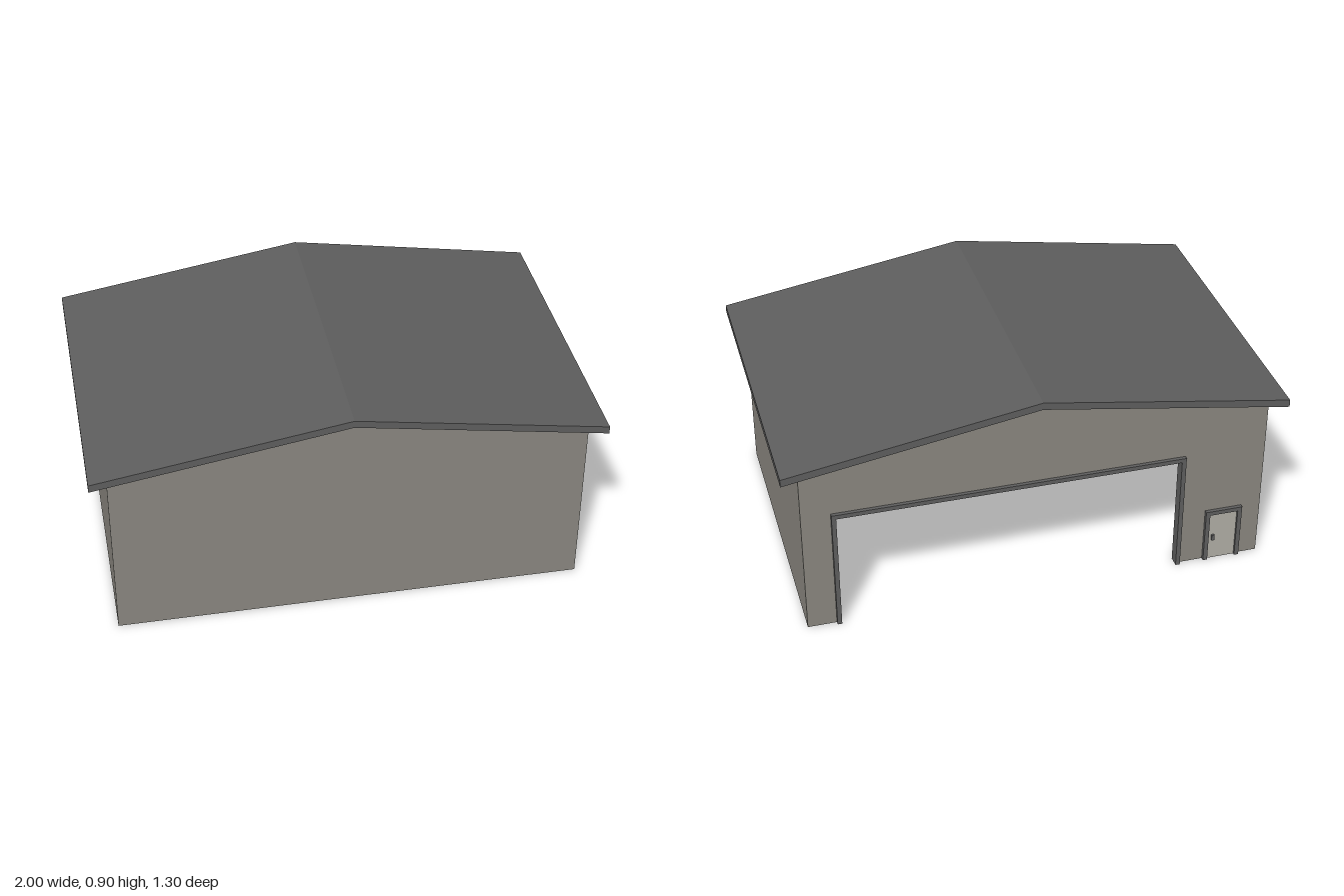
import * as THREE from 'three';

const mat = (color, side = THREE.FrontSide) =>
  new THREE.MeshStandardMaterial({ color, side, flatShading: true });

export function createModel() {
  const model = new THREE.Group();
  const wallMat = mat(0x8a8780, THREE.DoubleSide);
  const darkMat = mat(0x5e5e5e);
  const doorMat = mat(0xb0aea6);

  const W = 0.93, D = 0.61, EAVE = 0.72, APEX = 0.873; // outer shell
  const T = 0.03, CEIL = 0.54;                         // wall thickness, ceiling
  const IW = W - T, ID = D - T;

  const add = (name, geometry, material, x = 0, y = 0, z = 0, parent = model) => {
    const mesh = new THREE.Mesh(geometry, material);
    mesh.name = name;
    mesh.position.set(x, y, z);
    parent.add(mesh);
    return mesh;
  };
  const shape = (pts) => new THREE.Shape(pts.map(([x, y]) => new THREE.Vector2(x, y)));
  const extrude = (pts, depth) =>
    new THREE.ExtrudeGeometry(shape(pts), { depth, bevelEnabled: false });

  // Gateway outline, right to left, open at the ground
  const gate = { left: 0.815, right: -0.597, top: 0.525 };
  const notch = [[gate.right, 0], [gate.right, gate.top], [gate.left, gate.top], [gate.left, 0]];

  // Outer and inner gable walls; the back pair is cut by the gateway
  const gableTop = [[W, 0], [W, EAVE], [0, APEX], [-W, EAVE], [-W, 0]];
  const innerTop = [[IW, 0], [IW, CEIL], [-IW, CEIL], [-IW, 0]];
  const sheet = (pts) => new THREE.ShapeGeometry(shape(pts));
  add('frontWall', sheet(gableTop), wallMat, 0, 0, D);
  add('frontWallInside', sheet(innerTop), wallMat, 0, 0, ID);
  // Built facing -z: mirrored in x, then turned about y
  const turned = (pts) => sheet(pts.map(([x, y]) => [-x, y])).rotateY(Math.PI);
  add('backWall', turned([...gableTop, ...notch]), wallMat, 0, 0, -D);
  add('backWallInside', sheet([...innerTop, ...notch]), wallMat, 0, 0, -ID);

  // Side walls with their inner linings and a row of ribs
  for (const s of [1, -1]) {
    const side = s > 0 ? 'left' : 'right';
    add(side + 'Wall', new THREE.PlaneGeometry(2 * D, EAVE).rotateY(s * Math.PI / 2),
      wallMat, s * W, EAVE / 2, 0);
    add(side + 'WallInside', new THREE.PlaneGeometry(2 * ID, CEIL).rotateY(-s * Math.PI / 2),
      wallMat, s * IW, CEIL / 2, 0);
    const ribs = new THREE.Group();
    ribs.name = side + 'Ribs';
    model.add(ribs);
    for (let i = 0; i < 8; i++) {
      add('rib', new THREE.BoxGeometry(0.02, CEIL, 0.02), darkMat,
        s * (IW - 0.01), CEIL / 2, -0.5 + i * 0.1, ribs);
    }
  }

  // Flat ceiling
  add('ceiling', new THREE.PlaneGeometry(2 * IW, 2 * ID).rotateX(Math.PI / 2), wallMat, 0, CEIL, 0);

  // Pitched roof slab
  const roof = [[-1, 0.712], [0, 0.875], [1, 0.712], [1, 0.743], [0, 0.905], [-1, 0.743]];
  add('roof', extrude(roof, 1.3), darkMat, 0, 0, -0.65);

  // Three-sided frame around an opening
  const frame = (left, right, top, w, depth) => extrude([
    [left, 0], [left, top], [right, top], [right, 0],
    [right + w, 0], [right + w, top - w], [left - w, top - w], [left - w, 0],
  ], depth);
  add('gateFrame', frame(gate.left, gate.right, gate.top, 0.018, 0.045), darkMat, 0, 0, -0.625);

  // Small entrance door
  add('doorFrame', frame(-0.697, -0.85, 0.24, 0.018, 0.015), darkMat, 0, 0, -0.625);
  add('door', new THREE.BoxGeometry(0.117, 0.222, 0.006), doorMat, -0.7735, 0.111, -0.612);
  add('doorHandle', new THREE.BoxGeometry(0.012, 0.026, 0.008), darkMat, -0.735, 0.105, -0.619);

  return model;
}
